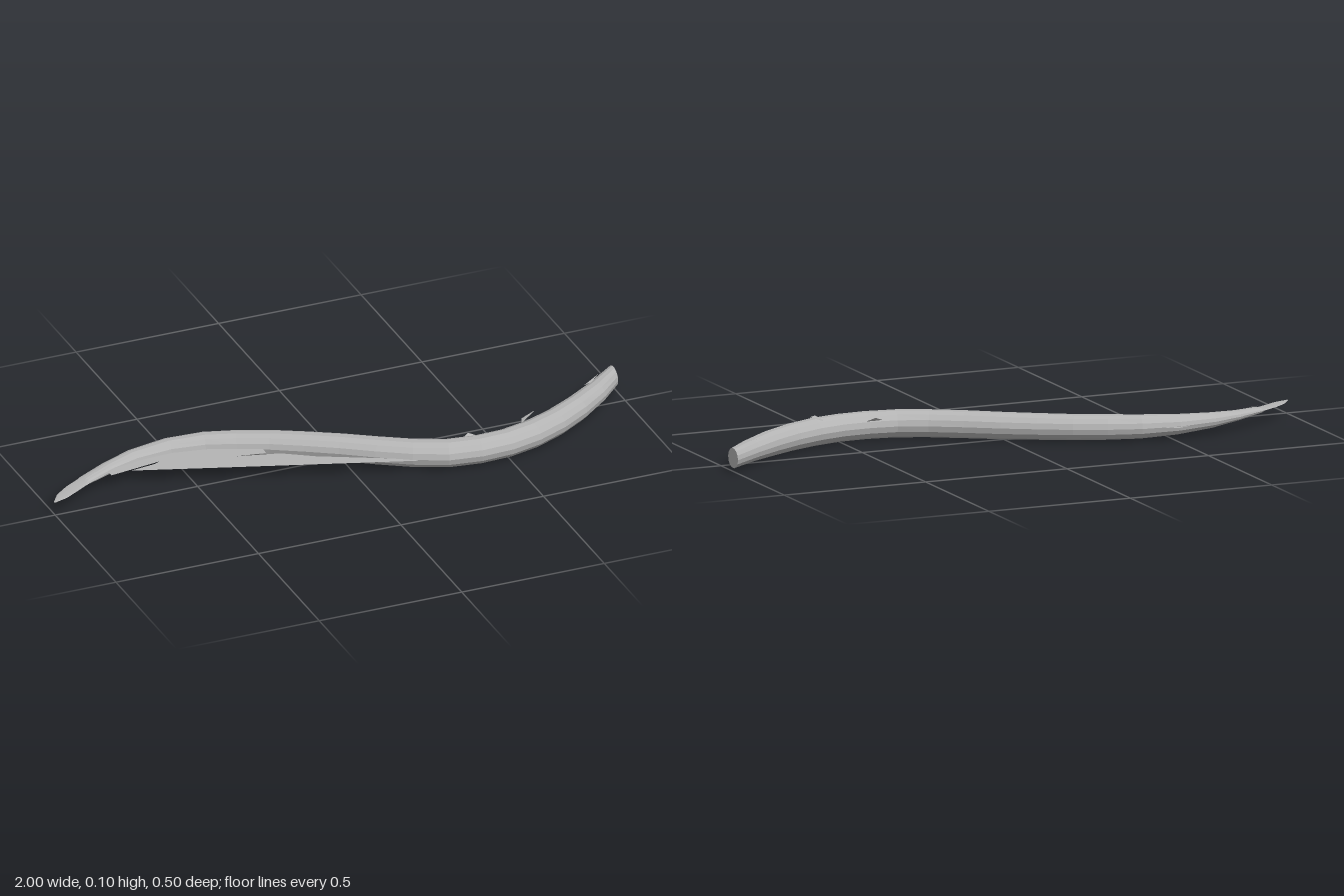
import * as THREE from 'three';

const MID = 0.048;

// Stations along the body: x, z, half width, half height
const STATIONS = [
  [-1, -0.005, 0.003, 0.001], [-0.96, -0.035, 0.02, 0.002], [-0.91, -0.07, 0.024, 0.002],
  [-0.86, -0.1, 0.024, 0.003], [-0.85, -0.106, 0.024, 0.01], [-0.75, -0.155, 0.027, 0.017],
  [-0.65, -0.188, 0.032, 0.025], [-0.52, -0.202, 0.038, 0.033], [-0.4, -0.185, 0.042, 0.039],
  [-0.3, -0.15, 0.045, 0.041], [-0.2, -0.106, 0.046, 0.042], [-0.1, -0.05, 0.047, 0.043],
  [0, 0.01, 0.048, 0.044], [0.1, 0.077, 0.049, 0.045], [0.2, 0.138, 0.05, 0.045],
  [0.3, 0.182, 0.051, 0.045], [0.4, 0.197, 0.051, 0.045], [0.5, 0.193, 0.05, 0.045],
  [0.6, 0.168, 0.049, 0.045], [0.7, 0.124, 0.047, 0.044], [0.8, 0.064, 0.044, 0.042],
  [0.9, -0.01, 0.039, 0.037], [1, -0.096, 0.039, 0.033],
];

// Elliptical rings swept along the stations, closed by a flat cut end
function bodyGeometry(sides = 14) {
  const pos = [], index = [], last = STATIONS.length - 1;
  STATIONS.forEach(([x, z, w, h], i) => {
    const a = STATIONS[Math.max(0, i - 1)], b = STATIONS[Math.min(last, i + 1)];
    const dx = b[0] - a[0], dz = b[1] - a[1], len = Math.hypot(dx, dz);
    const nx = i === last ? 0 : -dz / len, nz = i === last ? 1 : dx / len;
    for (let s = 0; s < sides; s++) {
      const t = (s / sides) * Math.PI * 2, c = Math.cos(t) * w;
      pos.push(x + nx * c, MID + Math.sin(t) * h, z + nz * c);
    }
  });
  for (let i = 0; i < last; i++) {
    for (let s = 0; s < sides; s++) {
      const n = (s + 1) % sides, a = i * sides + s, b = i * sides + n;
      index.push(a, a + sides, b, b, a + sides, b + sides);
    }
  }
  const end = last * sides;
  for (let s = 1; s < sides - 1; s++) index.push(end, end + s + 1, end + s);
  const g = new THREE.BufferGeometry();
  g.setAttribute('position', new THREE.Float32BufferAttribute(pos, 3));
  g.setIndex(index);
  g.computeVertexNormals();
  return g;
}

// Horizontal membrane outlined by [x, z] points
function membraneGeometry(points) {
  const shape = new THREE.Shape(points.map(([x, z]) => new THREE.Vector2(x, -z)));
  return new THREE.ShapeGeometry(shape).rotateX(-Math.PI / 2);
}

// Small raised flap with three corners
function flapGeometry(corners) {
  const g = new THREE.BufferGeometry();
  g.setAttribute('position', new THREE.Float32BufferAttribute(corners.flat(), 3));
  g.computeVertexNormals();
  return g;
}

export function createModel() {
  const model = new THREE.Group();
  const grey = new THREE.MeshStandardMaterial({ color: 0xb4b4b4, side: THREE.DoubleSide, flatShading: true });
  grey.name = 'grey';
  const add = (name, geometry, y = 0) => {
    const mesh = new THREE.Mesh(geometry, grey);
    mesh.name = name;
    mesh.position.y = y;
    model.add(mesh);
  };

  add('body', bodyGeometry());

  // Large web spanning the inner bend, with a notch at each end of its root
  add('sideMembrane', membraneGeometry([
    [-0.69, -0.105], [-0.4, -0.005], [0.2, 0.2], [0.12, 0.15], [0, 0.09], [-0.1, 0.04],
    [-0.2, -0.025], [-0.34, -0.062], [-0.24, -0.045], [-0.24, -0.09], [-0.4, -0.17],
    [-0.55, -0.19], [-0.66, -0.17], [-0.7, -0.142], [-0.58, -0.126], [-0.6, -0.117],
  ]), 0.05);
  add('frontBarb', membraneGeometry([[-0.76, -0.14], [-0.76, -0.098], [-0.58, -0.125], [-0.68, -0.145]]), 0.051);
  add('backBarb', membraneGeometry([[-0.58, -0.225], [-0.45, -0.225], [-0.51, -0.254]]), 0.047);

  // Scattered flaps lifting off the skin
  const flaps = [
    [[0.57, 0.155, 0.088], [0.58, 0.13, 0.09], [0.63, 0.125, 0.108]],
    [[0.57, 0.155, 0.088], [0.63, 0.125, 0.108], [0.6, 0.15, 0.106]],
    [[0.86, -0.01, 0.084], [0.89, -0.02, 0.085], [0.93, -0.055, 0.09]],
    [[0.03, -0.01, 0.075], [0.0, -0.03, 0.07], [0.07, 0.03, 0.085]],
    [[-0.86, -0.09, 0.058], [-0.84, -0.1, 0.058], [-0.8, -0.125, 0.064]],
    [[0.36, 0.15, 0.07], [0.42, 0.15, 0.07], [0.39, 0.139, 0.082]],
  ];
  flaps.forEach((f, i) => add(`skinFlap${i + 1}`, flapGeometry(f.map(([x, z, y]) => [x, y, z]))));

  return model;
}
